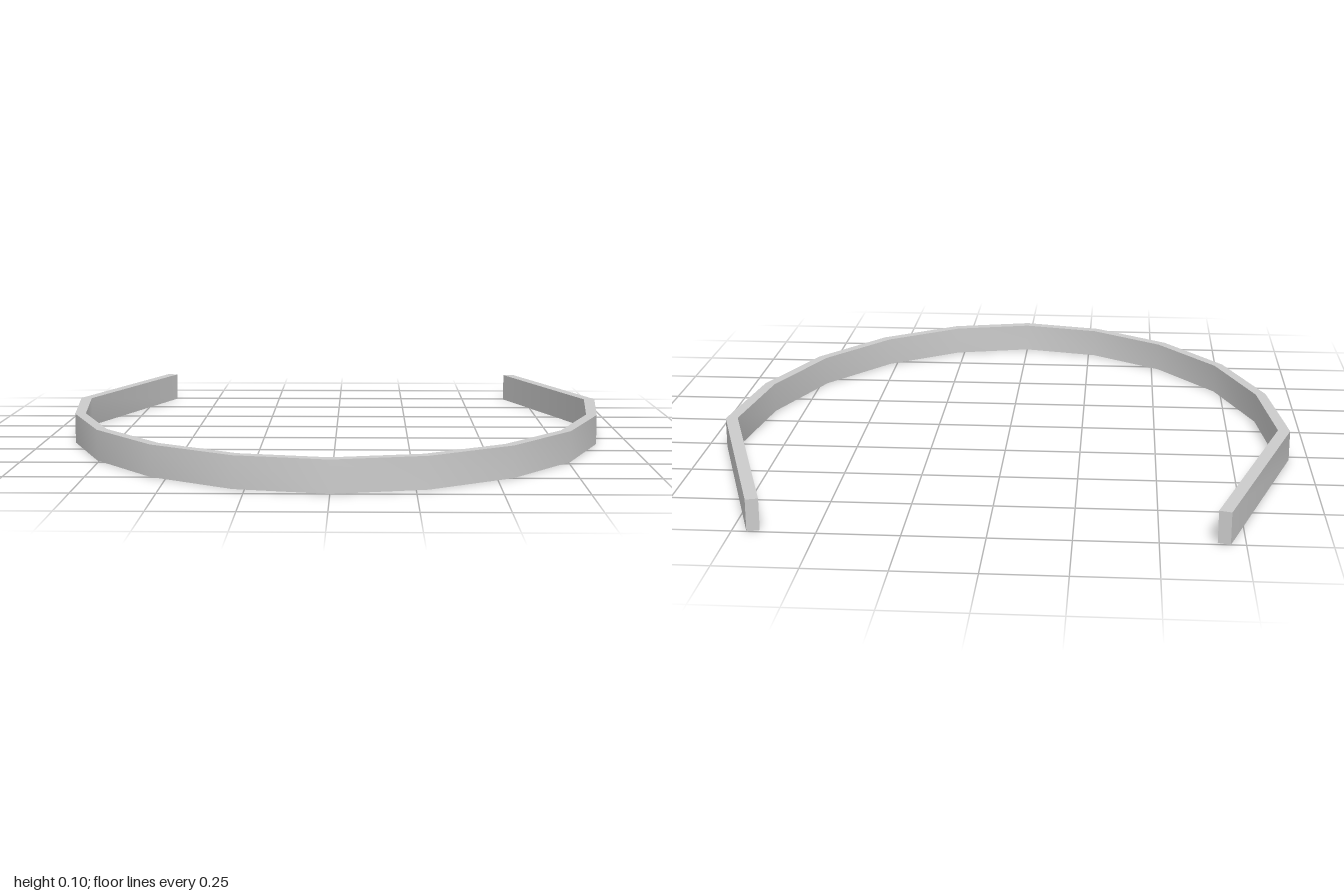
import * as THREE from 'three';
import { toCreasedNormals } from 'three/addons/utils/BufferGeometryUtils.js';

const HEIGHT = 0.1;

// Half outlines in plan (x, z), from the open end round to the front centre
const outer = [[0.705, -1], [0.937, -0.277], [0.889, 0.117], [0.757, 0.467], [0.55, 0.747], [0.286, 0.932], [0, 1]];
const inner = [[0.668, -0.988], [0.898, -0.27], [0.854, 0.108], [0.728, 0.449], [0.526, 0.719], [0.274, 0.896], [0, 0.961]];

// Completes a half outline with its mirror image
function mirrored(half) {
  const other = half.slice(0, -1).reverse().map(([x, z]) => [-x, z]);
  return [...half, ...other];
}

export function createModel() {
  const group = new THREE.Group();
  group.name = 'openBand';

  // Flat-bottomed strip bent into an open horseshoe
  const outline = [...mirrored(outer), ...mirrored(inner).reverse()];
  const shape = new THREE.Shape(outline.map(([x, z]) => new THREE.Vector2(x, z)));
  const strip = new THREE.ExtrudeGeometry(shape, { depth: HEIGHT, bevelEnabled: false });
  strip.rotateX(Math.PI / 2).translate(0, HEIGHT, 0);

  // Smooth round the bend, sharp along the rims and ends
  const geometry = toCreasedNormals(strip, THREE.MathUtils.degToRad(32));
  const band = new THREE.Mesh(geometry, new THREE.MeshStandardMaterial({ color: 0xcccccc }));
  band.name = 'band';
  group.add(band);
  return group;
}
